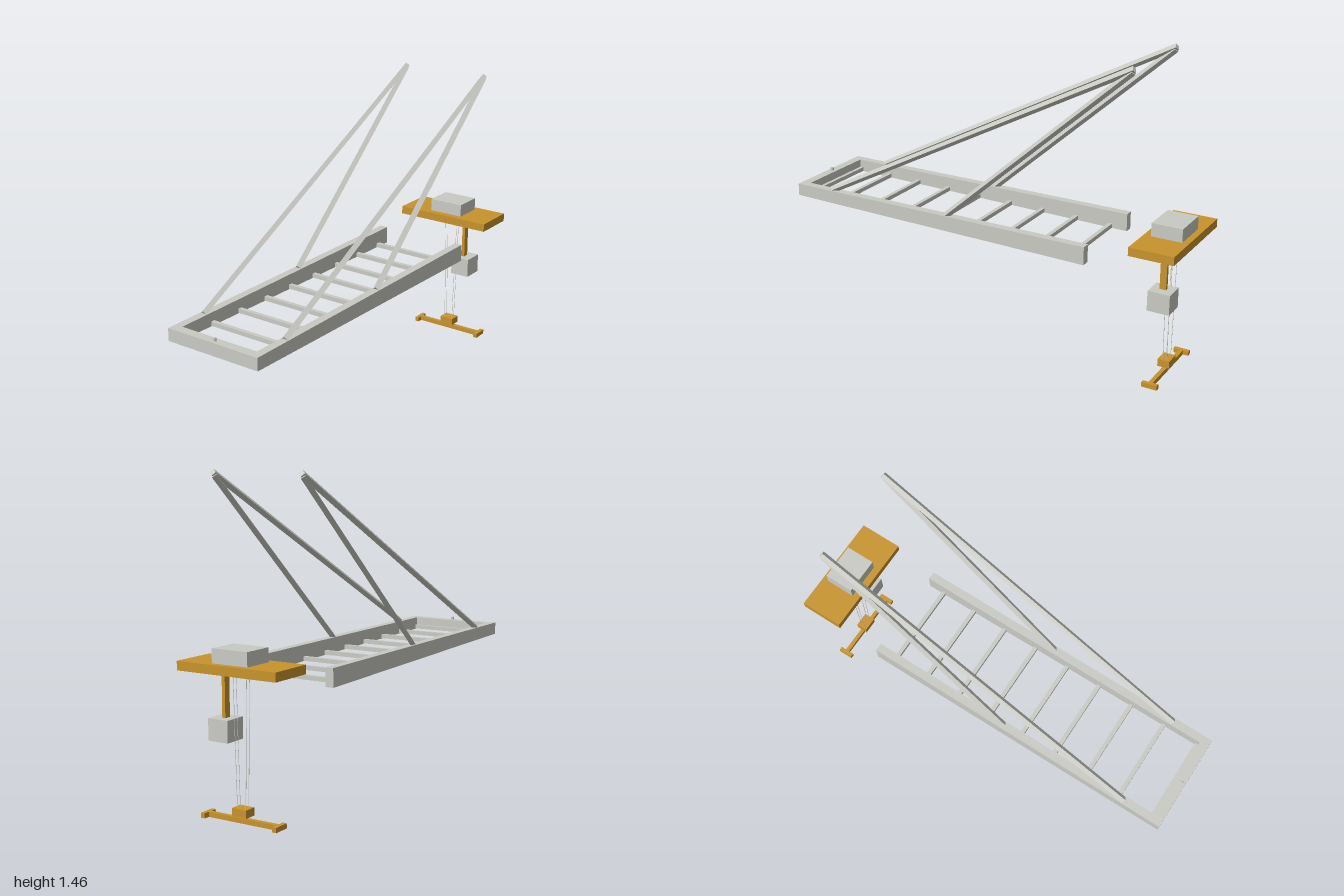
import * as THREE from 'three';

export function createModel() {
  const model = new THREE.Group();
  const grey = new THREE.MeshStandardMaterial({ color: 0xcacac5 });
  grey.name = 'light grey';
  const ochre = new THREE.MeshStandardMaterial({ color: 0xc8942c });
  ochre.name = 'ochre';

  const add = (name, geometry, material) => {
    const mesh = new THREE.Mesh(geometry, material);
    mesh.name = name;
    model.add(mesh);
    return mesh;
  };
  // Box given by its lowest and highest corner
  const box = (name, material, [x0, y0, z0], [x1, y1, z1]) =>
    add(name, new THREE.BoxGeometry(x1 - x0, y1 - y0, z1 - z0), material)
      .position.set((x0 + x1) / 2, (y0 + y1) / 2, (z0 + z1) / 2);
  // Straight bar between two points, with few flat sides
  const bar = (name, material, from, to, radius, sides) => {
    const a = new THREE.Vector3(...from), b = new THREE.Vector3(...to);
    const length = a.distanceTo(b);
    const geometry = new THREE.CylinderGeometry(radius, radius, length, sides).toNonIndexed();
    geometry.rotateX(Math.PI / 2);
    geometry.computeVertexNormals();
    const mesh = add(name, geometry, material);
    mesh.position.copy(a).lerp(b, 0.5);
    mesh.lookAt(b);
  };

  // Underside of the frame drops slightly towards the back
  const frontZ = 1, backZ = -0.58, topY = 0.63;
  const underside = z => 0.57 - 0.025 * (frontZ - z) / (frontZ - backZ);

  // Tapered side rails
  const profile = new THREE.Shape([
    new THREE.Vector2(-frontZ, underside(frontZ)),
    new THREE.Vector2(-backZ, underside(backZ)),
    new THREE.Vector2(-backZ, topY),
    new THREE.Vector2(-frontZ, topY),
  ]);
  for (const s of [-1, 1]) {
    const geometry = new THREE.ExtrudeGeometry(profile, { depth: 0.04, bevelEnabled: false });
    geometry.translate(0, 0, -0.02).rotateY(Math.PI / 2);
    add('sideRail', geometry, grey).position.x = s * 0.225;

    // Diamond-section struts meeting at a raised tip
    const x = s * 0.225;
    bar('longStrut', grey, [x, 0.63, 0.8], [x, 1.445, -0.775], 0.016, 4);
    bar('shortStrut', grey, [x, 0.63, 0.14], [x, 1.435, -0.77], 0.016, 4);
  }

  // Front beam with a small knob
  box('frontBeam', grey, [-0.205, 0.57, 0.955], [0.205, topY, frontZ]);
  add('knob', new THREE.CylinderGeometry(0.008, 0.008, 0.016, 12), grey).position.set(0, 0.637, 0.98);

  // Rungs
  for (let i = 0; i < 9; i++) {
    const z = 0.947 - i * 0.1803, y = underside(z) + 0.002;
    box('rung', grey, [-0.205, y, z - 0.01], [0.205, y + 0.02, z + 0.01]);
  }

  // Platform with its top box, post and hanging weight
  box('platform', ochre, [-0.25, 0.638, -1], [0.25, 0.678, -0.79]);
  box('topBox', grey, [-0.09, 0.678, -0.97], [0.09, 0.74, -0.825]);
  box('post', ochre, [0.074, 0.44, -0.908], [0.09, 0.638, -0.877]);
  box('weight', grey, [0.035, 0.345, -0.945], [0.135, 0.44, -0.84]);

  // Four thin ropes down to the lower block
  for (const s of [-1, 1])
    for (const z of [-0.903, -0.883])
      bar('rope', grey, [s * 0.035, 0.638, z], [s * 0.022, 0.065, z], 0.0012, 6);
  box('lowerBlock', ochre, [-0.037, 0.031, -0.921], [0.037, 0.066, -0.864]);

  // Spreader bar with crosswise ends
  box('spreaderBar', ochre, [-0.175, 0, -0.903], [0.175, 0.022, -0.883]);
  for (const s of [-1, 1])
    box('spreaderEnd', ochre, [s * 0.185 - 0.01, 0, -0.93], [s * 0.185 + 0.01, 0.022, -0.856]);

  return model;
}
